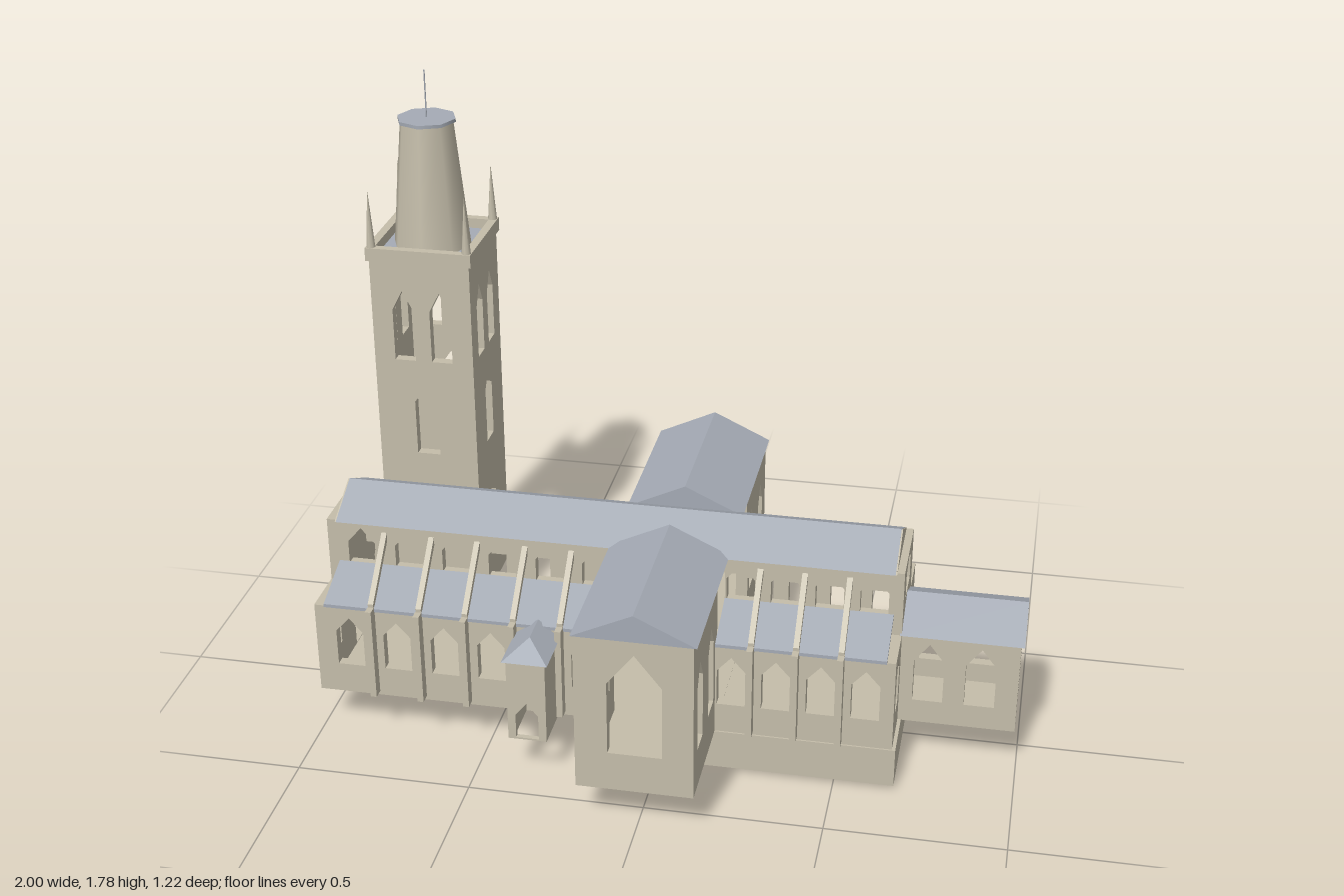
import * as THREE from 'three';
import { ConvexGeometry } from 'three/addons/geometries/ConvexGeometry.js';

export function createModel() {
  const model = new THREE.Group();
  const stone = new THREE.MeshStandardMaterial({ color: 0xc4bdaa });
  stone.name = 'stone';
  const slate = new THREE.MeshStandardMaterial({ color: 0xa5abb5 });
  slate.name = 'slate';
  const T = 0.03; // wall thickness

  function add(name, geometry, material = stone) {
    const mesh = new THREE.Mesh(geometry, material);
    mesh.name = name;
    model.add(mesh);
    return mesh;
  }
  function box(name, x0, x1, y0, y1, z0, z1, material) {
    const mesh = add(name, new THREE.BoxGeometry(x1 - x0, y1 - y0, z1 - z0), material);
    mesh.position.set((x0 + x1) / 2, (y0 + y1) / 2, (z0 + z1) / 2);
    return mesh;
  }
  const polygon = (pts) => new THREE.Shape(pts.map(([u, v]) => new THREE.Vector2(u, v)));
  const extrude = (shape, depth) => new THREE.ExtrudeGeometry(shape, { depth, bevelEnabled: false });
  // Profile in x,y pushed along z
  function alongZ(name, shape, z0, z1, material) {
    const mesh = add(name, extrude(shape, z1 - z0), material);
    mesh.position.z = z0;
  }
  // Profile in z,y pushed along x
  function alongX(name, shape, x0, x1, material) {
    const mesh = add(name, extrude(shape, x1 - x0), material);
    mesh.rotation.y = -Math.PI / 2;
    mesh.position.x = x1;
  }
  // Pointed opening: centre, width, sill, shoulder, peak
  const arch = (c, w, y0, ys, yp) =>
    [[c - w / 2, y0], [c + w / 2, y0], [c + w / 2, ys], [c, yp], [c - w / 2, ys]];
  function wall(u0, u1, y0, y1, openings = []) {
    const shape = polygon([[u0, y0], [u1, y0], [u1, y1], [u0, y1]]);
    openings.forEach((o) => shape.holes.push(polygon(arch(...o))));
    return shape;
  }
  const gable = (half, y0, y1, c = 0) => polygon([[c - half, y0], [c + half, y0], [c, y1]]);

  // Crypt and floors
  box('basePad', 0.15, 0.65, 0, 0.012, -0.265, 0.265, slate);
  box('crypt', 0.13, 0.67, 0.012, 0.13, -0.285, 0.285);
  box('naveFloor', -1, 0.66, 0.128, 0.14, -0.28, 0.28);
  box('transeptFloor', -0.165, 0.16, 0.128, 0.141, -0.605, 0.605);
  box('chancelFloor', 0.66, 0.99, 0.128, 0.14, -0.125, 0.125);

  // Nave roof with stone gable ends
  alongX('naveRoof', gable(0.14, 0.605, 0.675), -0.97, 0.635, slate);
  alongX('westGable', gable(0.138, 0.605, 0.674), -0.974, -0.97);
  alongX('eastGable', gable(0.138, 0.605, 0.674), 0.635, 0.639);

  // West and east end walls
  const aisleEnds = [-0.2, 0.2].map((z) => [z, 0.075, 0.22, 0.33, 0.375]);
  alongX('westWall', wall(-0.28, 0.28, 0.13, 0.41,
    [...aisleEnds, [0, 0.09, 0.142, 0.24, 0.285], [0, 0.12, 0.33, 0.37, 0.4]]), -1, -0.97);
  alongX('westUpperWall', wall(-0.13, 0.13, 0.41, 0.607), -1, -0.97);
  alongX('eastWall', wall(-0.28, 0.28, 0.13, 0.41,
    [...aisleEnds, [0, 0.12, 0.2, 0.34, 0.395]]), 0.63, 0.66);
  alongX('eastUpperWall', wall(-0.13, 0.13, 0.41, 0.607, [[0, 0.12, 0.49, 0.565, 0.59]]), 0.63, 0.66);

  // Side walls and aisle roofs, on both sides of the crossing
  const bays = [
    { x0: -0.97, x1: -0.165, r0: -0.97, windows: [-0.9, -0.76, -0.62, -0.483, -0.345, -0.21] },
    { x0: 0.16, x1: 0.63, r1: 0.635, windows: [0.205, 0.33, 0.455, 0.58] },
  ];
  for (const s of [1, -1]) {
    const span = (a, b) => (s > 0 ? [a, b] : [-b, -a]);
    for (const { x0, x1, r0 = x0, r1 = x1, windows } of bays) {
      alongZ('aisleWall', wall(x0, x1, 0.13, 0.41, windows.map((x) =>
        (x === -0.345 ? [x, 0.06, 0.142, 0.21, 0.25] : [x, 0.08, 0.22, 0.33, 0.375]))),
      ...span(0.25, 0.28));
      alongZ('clerestoryWall', wall(x0, x1, 0.41, 0.607,
        windows.map((x) => [x, 0.08, 0.47, 0.54, 0.587])), ...span(0.1, 0.13));
      alongX('aisleRoof', polygon([[0.285 * s, 0.408], [0.285 * s, 0.418],
        [0.13 * s, 0.475], [0.13 * s, 0.465]]), r0, r1, slate);
    }

    // Piers and flying buttresses
    const piers = [-0.555, -0.415, -0.28, 0.26, 0.385, 0.51];
    if (s > 0) piers.push(-0.83, -0.69);
    for (const x of piers) {
      box('buttressPier', x - 0.009, x + 0.009, 0.14, 0.422, ...span(0.28, 0.313));
      alongX('flyingButtress', polygon([[0.285 * s, 0.41], [0.285 * s, 0.432],
        [0.13 * s, 0.58], [0.13 * s, 0.555]]), x - 0.008, x + 0.008);
    }

    // Transept arm
    alongZ('transeptEndWall', wall(-0.165, 0.16, 0.13, 0.605,
      [[0, 0.15, 0.245, 0.465, 0.56]]), ...span(0.575, 0.605));
    const lancets = [0.51, 0.345].map((z) => [z * s, 0.08, 0.245, 0.44, 0.505]);
    for (const x of [-0.165, 0.13]) {
      alongX('transeptSideWall', wall(...span(0.25, 0.575), 0.13, 0.605, lancets), x, x + T);
    }
    alongZ('transeptRoof', gable(0.17, 0.605, 0.685), ...span(0.115, 0.612), slate);

    // Porch with hipped roof
    alongZ('porchFront', wall(-0.4, -0.29, 0.13, 0.385, [[-0.345, 0.065, 0.135, 0.21, 0.25]]),
      ...span(0.41, 0.425));
    for (const x of [-0.4, -0.305]) {
      box('porchSide', x, x + 0.015, 0.13, 0.385, ...span(0.28, 0.41));
    }
    add('porchRoof', new ConvexGeometry([
      [-0.41, 0.385, 0.27], [-0.28, 0.385, 0.27], [-0.41, 0.385, 0.438],
      [-0.28, 0.385, 0.438], [-0.345, 0.43, 0.27], [-0.345, 0.43, 0.365],
    ].map(([x, y, z]) => new THREE.Vector3(x, y, z * s))), slate);

    // Chancel side
    alongZ('chancelSideWall', wall(0.66, 0.96, 0.13, 0.415,
      [0.74, 0.885].map((x) => [x, 0.085, 0.2, 0.33, 0.385])), ...span(0.095, 0.125));
  }

  // Chancel end and roof
  alongX('chancelEndWall', wall(-0.125, 0.125, 0.13, 0.415, [[0, 0.125, 0.2, 0.335, 0.39]]), 0.96, 0.99);
  alongX('chancelRoof', gable(0.138, 0.413, 0.48), 0.655, 1, slate);

  // Tower walls
  const tx = -0.816, tz = -0.43, h = 0.15;
  const towerOpenings = (c) => [
    [c - 0.056, 0.063, 0.935, 1.095, 1.155], [c + 0.056, 0.063, 0.935, 1.095, 1.155],
    [c, 0.07, 0.63, 0.8, 0.85], [c, 0.07, 0.32, 0.43, 0.48],
  ];
  const doorway = [tx, 0.07, 0.142, 0.23, 0.28];
  alongZ('towerFrontWall', wall(tx - h, tx + h, 0.13, 1.245, towerOpenings(tx)), tz + h - T, tz + h);
  alongZ('towerBackWall', wall(tx - h, tx + h, 0.13, 1.245,
    [...towerOpenings(tx).slice(0, 3), doorway]), tz - h, tz - h + T);
  for (const x of [tx - h, tx + h - T]) {
    alongX('towerSideWall', wall(tz - h + T, tz + h - T, 0.13, 1.245, towerOpenings(tz)), x, x + T);
  }
  box('towerFloor', tx - h, tx + h, 0.128, 0.14, tz - h, tz + h);
  box('towerDeck', tx - 0.14, tx + 0.14, 1.235, 1.255, tz - 0.14, tz + 0.14, slate);

  // Parapet and corner pinnacles
  const p = 0.158;
  for (const s of [-1, 1]) {
    const rail = s > 0 ? [p - 0.025, p] : [-p, -p + 0.025];
    box('parapet', tx - p, tx + p, 1.245, 1.285, tz + rail[0], tz + rail[1]);
    box('parapet', tx + rail[0], tx + rail[1], 1.245, 1.285, tz - p + 0.025, tz + p - 0.025);
    for (const t of [-1, 1]) {
      const pinnacle = add('pinnacle', new THREE.ConeGeometry(0.014, 0.175, 8));
      pinnacle.position.set(tx + s * 0.143, 1.37, tz + t * 0.143);
    }
  }

  // Spire, cap and rod
  const spire = add('spire', new THREE.CylinderGeometry(0.08, 0.118, 0.38, 8));
  spire.position.set(tx, 1.44, tz);
  const cap = add('spireCap', new THREE.CylinderGeometry(0.087, 0.087, 0.01, 8), slate);
  cap.position.set(tx, 1.634, tz);
  const rod = add('spireRod', new THREE.CylinderGeometry(0.002, 0.002, 0.14, 6), slate);
  rod.position.set(tx, 1.708, tz);

  return model;
}
